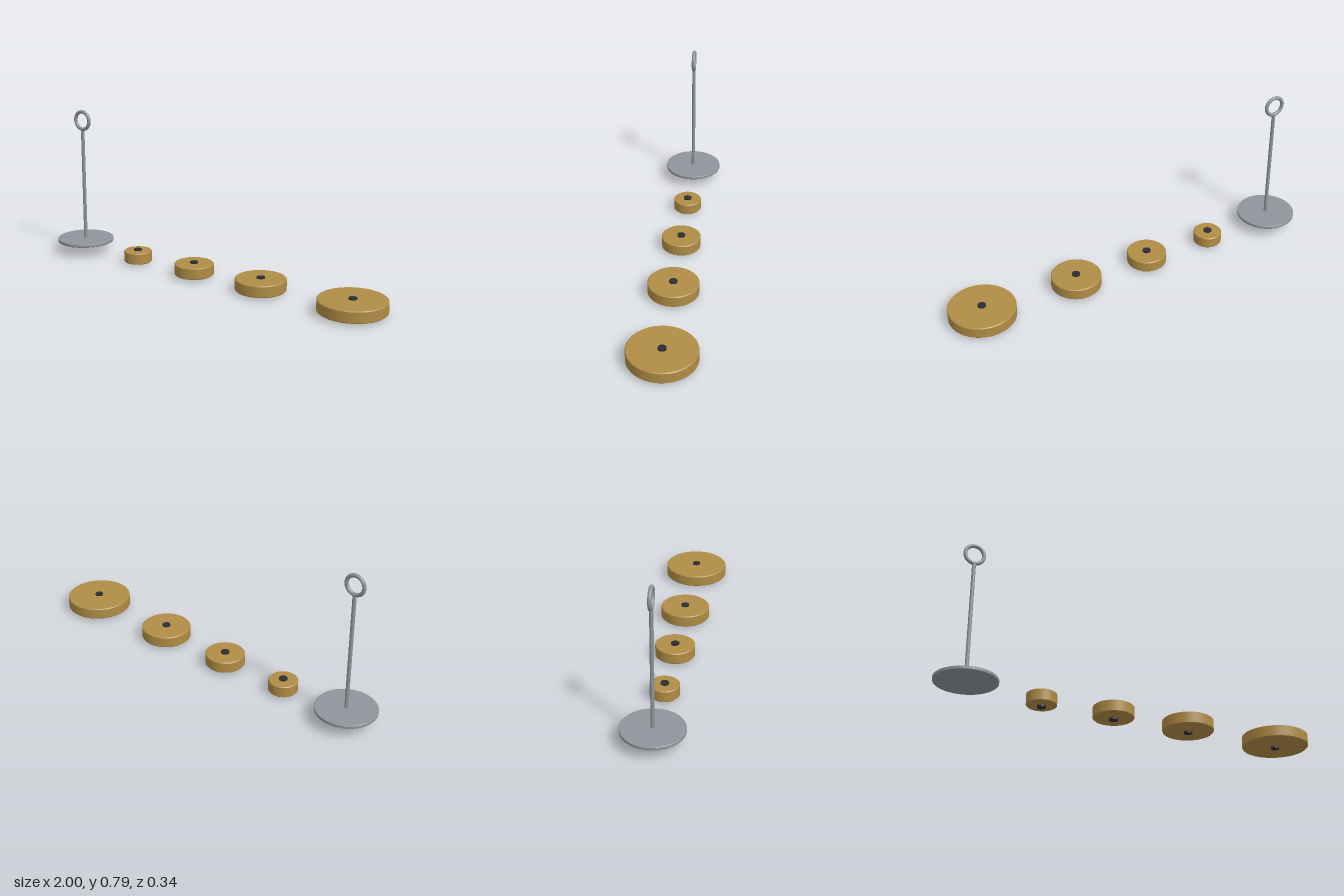
import * as THREE from 'three';

const steel = new THREE.MeshStandardMaterial({ color: 0x8f959c });
const brass = new THREE.MeshStandardMaterial({ color: 0xb08c45 });
const dark = new THREE.MeshStandardMaterial({ color: 0x2b2d31 });

// Solid disc with small chamfered rims; each straight run is its own lathe so edges stay sharp
function disc(name, radius, y0, y1, bevel, material) {
  const profile = [
    [0, y0], [radius - bevel, y0], [radius, y0 + bevel],
    [radius, y1 - bevel], [radius - bevel, y1], [0, y1],
  ].map(([x, y]) => new THREE.Vector2(x, y));
  const group = new THREE.Group();
  group.name = name;
  for (let i = 0; i < profile.length - 1; i++) {
    const face = new THREE.Mesh(new THREE.LatheGeometry([profile[i], profile[i + 1]], 64), material);
    face.name = name + 'Surface';
    group.add(face);
  }
  return group;
}

function cylinder(name, radius, y0, y1, material) {
  const mesh = new THREE.Mesh(new THREE.CylinderGeometry(radius, radius, y1 - y0, 32), material);
  mesh.name = name;
  mesh.position.y = (y0 + y1) / 2;
  return mesh;
}

export function createModel() {
  const model = new THREE.Group();
  model.name = 'weightSet';

  // Hanger: base plate, rod and lifting ring
  const hanger = new THREE.Group();
  hanger.name = 'hanger';
  hanger.position.x = -0.847;
  const ring = new THREE.Mesh(new THREE.TorusGeometry(0.0475, 0.0095, 20, 64), steel);
  ring.name = 'liftingRing';
  ring.position.y = 0.733;
  hanger.add(
    disc('basePlate', 0.153, 0.06, 0.077, 0.002, steel),
    cylinder('rod', 0.0095, 0.07, 0.683, steel),
    ring,
  );
  model.add(hanger);

  // Brass weights of growing size, each with a dark centre pin
  [[-0.472, 0.074], [-0.097, 0.102], [0.315, 0.129], [0.83, 0.17]].forEach(([x, radius]) => {
    const weight = new THREE.Group();
    weight.name = 'weight';
    weight.position.x = x;
    weight.add(
      disc('weightDisc', radius, 0.01, 0.07, 0.004, brass),
      cylinder('centrePin', 0.021, 0, 0.077, dark),
    );
    model.add(weight);
  });

  return model;
}
